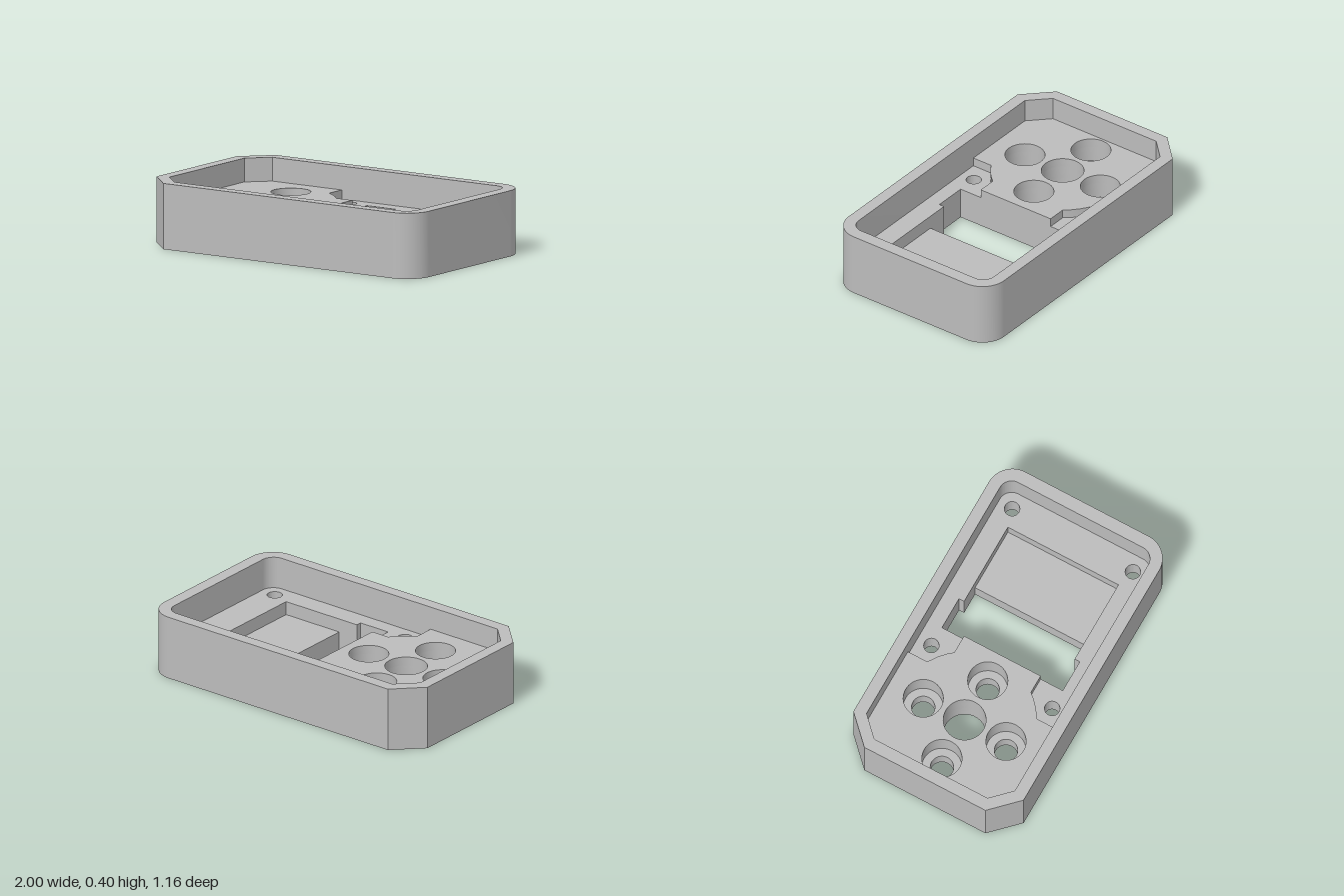
import * as THREE from 'three';
import { toCreasedNormals } from 'three/addons/utils/BufferGeometryUtils.js';

// Plate outline: two chamfered corners at -x, two rounded corners at +x
function outline(s, x0, x1, z, chamfer, r) {
  s.moveTo(x0 + chamfer, -z);
  s.lineTo(x1 - r, -z);
  s.absarc(x1 - r, -z + r, r, -Math.PI / 2, 0, false);
  s.lineTo(x1, z - r);
  s.absarc(x1 - r, z - r, r, 0, Math.PI / 2, false);
  s.lineTo(x0 + chamfer, z);
  s.lineTo(x0, z - chamfer);
  s.lineTo(x0, -z + chamfer);
  s.closePath();
  return s;
}
const inner = (s) => outline(s, -0.925, 0.92, 0.507, 0.12, 0.08);

function circle(x, z, r) {
  const p = new THREE.Path();
  p.absarc(x, z, r, 0, Math.PI * 2, true);
  return p;
}

// Stepped rectangular opening, reaching to x = end
function opening(end) {
  const half = [[-0.045, 0.413], [0.165, 0.413], [0.165, 0.378], [end, 0.378]];
  const pts = [...half, ...half.slice().reverse().map(([x, z]) => [x, -z])];
  return new THREE.Path(pts.map(([x, z]) => new THREE.Vector2(x, z)));
}

const screws = [[-0.175, 0.413], [-0.175, -0.413], [0.82, 0.413], [0.82, -0.413]];
const motorHoles = [[-0.79, 0], [-0.225, 0], [-0.51, 0.283], [-0.51, -0.283]];
const motorCuts = (r) => [circle(-0.51, 0, 0.128), ...motorHoles.map(([x, z]) => circle(x, z, r))];
const screwCuts = (r) => screws.map(([x, z]) => circle(x, z, r));

export function createModel() {
  const group = new THREE.Group();
  const grey = new THREE.MeshStandardMaterial({ color: 0xbcbcbc });
  grey.name = 'plain grey';

  // Horizontal layer between two heights
  function layer(name, shape, holes, y0, y1) {
    shape.holes.push(...holes);
    const geo = new THREE.ExtrudeGeometry(shape, { depth: y1 - y0, bevelEnabled: false, curveSegments: 24 });
    geo.rotateX(-Math.PI / 2);
    geo.translate(0, y0, 0);
    const mesh = new THREE.Mesh(toCreasedNormals(geo, 0.5), grey);
    mesh.name = name;
    group.add(mesh);
  }

  // Surrounding wall
  layer('outerWall', outline(new THREE.Shape(), -1, 1, 0.582, 0.168, 0.16), [inner(new THREE.Path())], 0, 0.4);

  // Floor, layered so that counterbores and the pocket open at their own depths
  const floors = [
    ['floorBase', 0, 0.06, 0.075, 0.07, 0.3],
    ['floorLower', 0.06, 0.1, 0.046, 0.07, 0.3],
    ['floorMiddle', 0.1, 0.115, 0.046, 0.12, 0.3],
    ['floorLedge', 0.115, 0.2, 0.046, 0.12, 0.705],
  ];
  for (const [name, y0, y1, screwR, motorR, end] of floors) {
    layer(name, inner(new THREE.Shape()), [...screwCuts(screwR), ...motorCuts(motorR), opening(end)], y0, y1);
  }

  // Raised mounting pad, cut back around the two nearby screws
  const half = [[-0.045, 0.262], [-0.165, 0.262], [-0.195, 0.298], [-0.24, 0.338], [-0.295, 0.375],
    [-0.295, 0.507], [-0.805, 0.507], [-0.925, 0.387]];
  const pad = [...half, ...half.slice().reverse().map(([x, z]) => [x, -z])];
  layer('mountingPad', new THREE.Shape(pad.map(([x, z]) => new THREE.Vector2(x, z))), motorCuts(0.12), 0.2, 0.255);

  return group;
}
